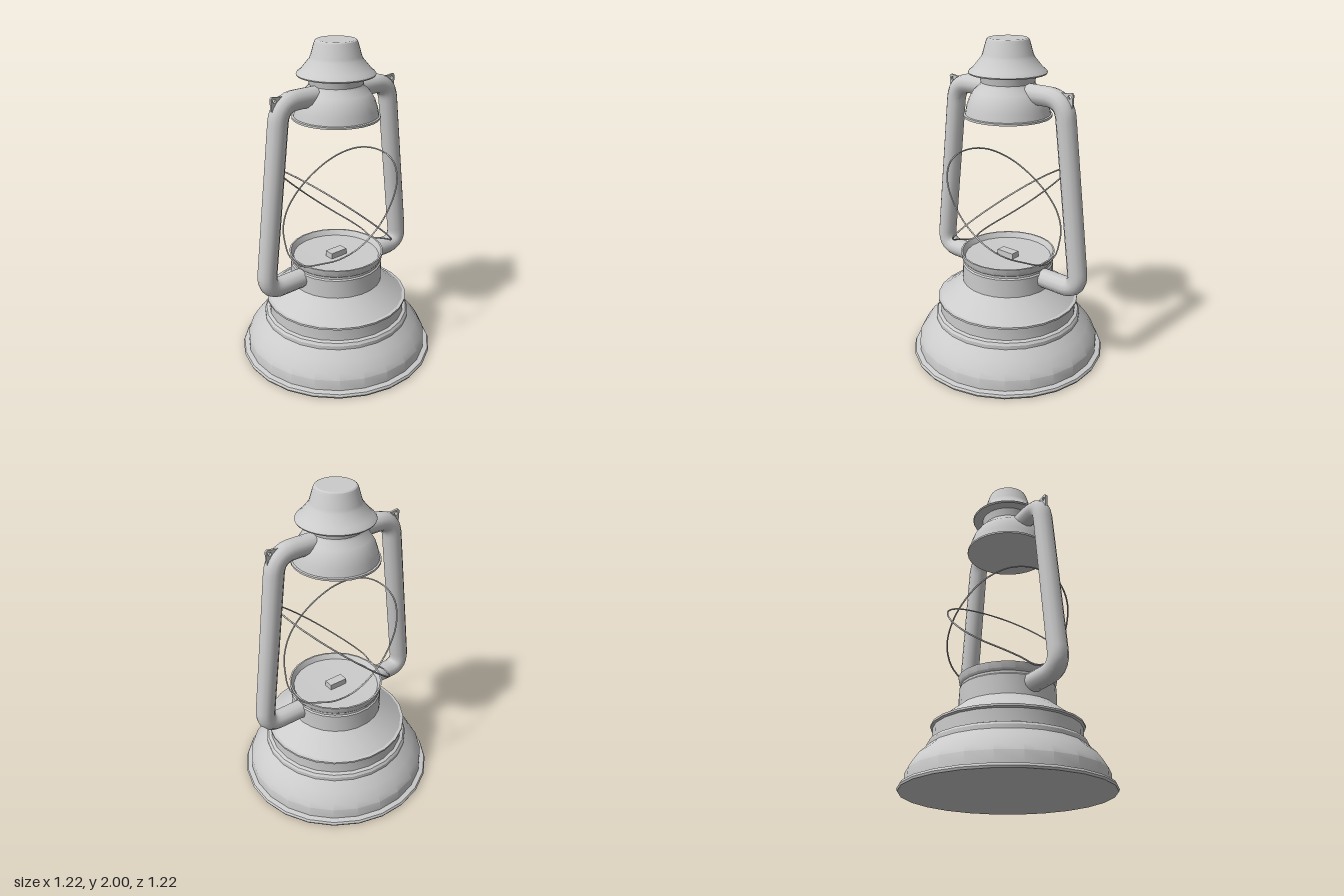
import * as THREE from 'three';
import { toCreasedNormals } from 'three/addons/utils/BufferGeometryUtils.js';

const material = new THREE.MeshStandardMaterial({ color: 0xcccccc, side: THREE.DoubleSide });

function addMesh(parent, name, geometry) {
  const mesh = new THREE.Mesh(geometry, material);
  mesh.name = name;
  parent.add(mesh);
  return mesh;
}

// Turned sheet-metal part from [radius, height] pairs, bottom to top
function turned(profile, sides) {
  const points = profile.map(([r, y]) => new THREE.Vector2(r, y));
  return toCreasedNormals(new THREE.LatheGeometry(points, sides, Math.PI / sides), 0.5);
}

// Straight runs joined by rounded corners, in the z-y plane
function roundedPath(corners, radius) {
  const pts = corners.map(([z, y]) => new THREE.Vector3(0, y, z));
  const path = new THREE.CurvePath();
  let from = pts[0];
  for (let i = 1; i < pts.length - 1; i++) {
    const p = pts[i];
    const a = p.clone().add(pts[i - 1].clone().sub(p).setLength(radius));
    const b = p.clone().add(pts[i + 1].clone().sub(p).setLength(radius));
    path.add(new THREE.LineCurve3(from, a));
    path.add(new THREE.QuadraticBezierCurve3(a, p, b));
    from = b;
  }
  path.add(new THREE.LineCurve3(from, pts[pts.length - 1]));
  return path;
}

// Thin plate with a bail hole, lying in the z-y plane
function earGeometry() {
  const thickness = 0.014;
  const outline = [[0.3, 1.75], [0.4, 1.735], [0.45, 1.742], [0.46, 1.73], [0.455, 1.62], [0.38, 1.62], [0.3, 1.69]];
  const shape = new THREE.Shape(outline.map(([z, y]) => new THREE.Vector2(z, y)));
  const hole = new THREE.Path();
  hole.absarc(0.437, 1.717, 0.011, 0, Math.PI * 2, true);
  shape.holes.push(hole);
  const geometry = new THREE.ExtrudeGeometry(shape, { depth: thickness, bevelEnabled: false, curveSegments: 6 });
  geometry.translate(0, 0, -thickness / 2);
  return geometry.rotateY(-Math.PI / 2);
}

export function createModel() {
  const lantern = new THREE.Group();
  lantern.name = 'lantern';

  // Fuel tank with rolled foot, bead, flange, shoulder and neck
  addMesh(lantern, 'fuelTank', turned([
    [0, 0], [0.612, 0], [0.617, 0.012], [0.61, 0.026], [0.58, 0.032], [0.578, 0.1],
    [0.555, 0.14], [0.52, 0.19], [0.465, 0.242], [0.465, 0.265], [0.455, 0.28], [0.435, 0.287],
    [0.435, 0.362], [0.448, 0.368], [0.448, 0.38], [0.43, 0.382], [0.288, 0.493], [0.288, 0.61],
    [0.28, 0.618], [0.28, 0.632], [0.29, 0.645], [0.297, 0.682], [0.287, 0.682], [0.27, 0.648], [0, 0.64],
  ], 24));

  // Burner block on the tank lid
  const burner = addMesh(lantern, 'burner', new THREE.BoxGeometry(0.06, 0.04, 0.12));
  burner.position.y = 0.658;

  // Chimney hood and vented cap
  addMesh(lantern, 'chimneyCap', turned([
    [0, 1.55], [0.262, 1.55], [0.262, 1.562], [0.252, 1.565], [0.243, 1.61], [0.226, 1.66],
    [0.2, 1.702], [0.165, 1.735], [0.158, 1.75], [0.167, 1.8], [0.227, 1.8], [0.231, 1.808],
    [0.225, 1.817], [0.205, 1.832], [0.155, 1.893], [0.147, 1.91], [0.127, 1.98], [0.12, 1.995],
    [0.112, 2], [0, 2],
  ], 32));

  // Side tubes with ears, front and back
  const framePath = roundedPath([[0.22, 0.575], [0.54, 0.572], [0.401, 1.7], [0.13, 1.7]], 0.11);
  for (const [name, angle] of [['frontFrame', 0], ['backFrame', Math.PI]]) {
    const frame = new THREE.Group();
    frame.name = name;
    frame.rotation.y = angle;
    addMesh(frame, 'frameTube', new THREE.TubeGeometry(framePath, 64, 0.059, 12, false));
    addMesh(frame, 'bailEar', earGeometry());
    lantern.add(frame);
  }

  // Crossed globe guard wires, each a tilted loop hooked over the tank rim
  const half = [[0.1, 1.265], [0.2, 1.235], [0.3, 1.165], [0.36, 1.07], [0.38, 0.97],
    [0.355, 0.87], [0.28, 0.79], [0.177, 0.737], [0.09, 0.698]];
  const mirrored = half.map(([x, y]) => [-x, y]).reverse();
  const loop = [[0, 1.273], ...half, [0, 0.673], ...mirrored].map(([x, y]) =>
    new THREE.Vector3(x, y, Math.max((y - 0.972) * 1.14, -0.302)));
  const wireCurve = new THREE.CatmullRomCurve3(loop, true);
  for (const [name, angle] of [['guardWireA', 0], ['guardWireB', Math.PI]]) {
    addMesh(lantern, name, new THREE.TubeGeometry(wireCurve, 72, 0.005, 6, true)).rotation.y = angle;
  }

  return lantern;
}
